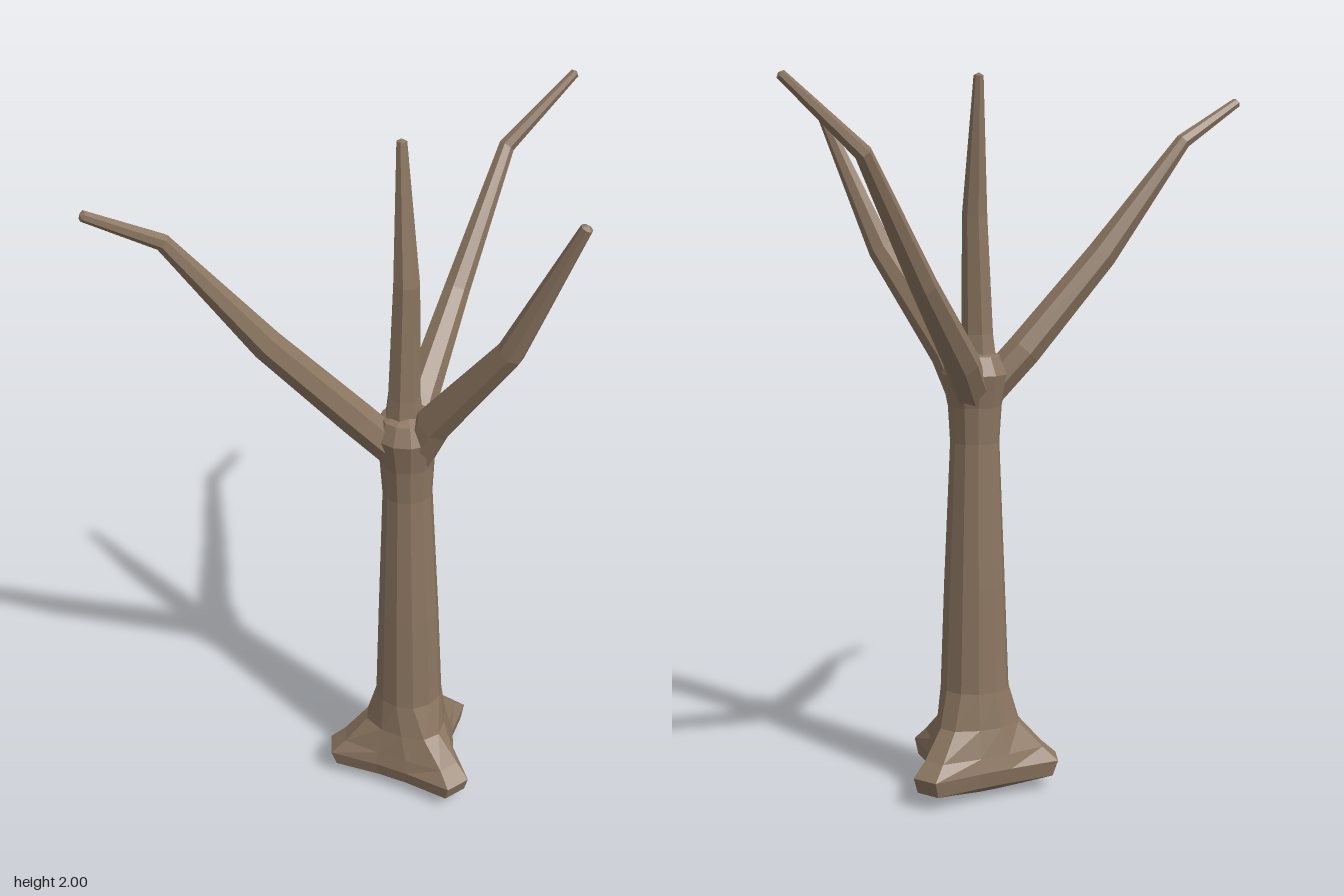
import * as THREE from 'three';

const V = (x, y, z) => new THREE.Vector3(x, y, z);

// Faceted skin through rings of points, closed by a fan at each end
function loft(rings, startTip, endTip) {
  const n = rings[0].length, pos = [];
  const tri = (a, b, c) => pos.push(...a.toArray(), ...b.toArray(), ...c.toArray());
  for (let i = 0; i < rings.length - 1; i++) {
    for (let j = 0; j < n; j++) {
      const k = (j + 1) % n;
      const a = rings[i][j], b = rings[i][k], c = rings[i + 1][j], d = rings[i + 1][k];
      tri(a, c, b);
      tri(b, c, d);
    }
  }
  const last = rings[rings.length - 1];
  for (let j = 0; j < n; j++) {
    const k = (j + 1) % n;
    tri(startTip, rings[0][j], rings[0][k]);
    tri(endTip, last[k], last[j]);
  }
  const g = new THREE.BufferGeometry();
  g.setAttribute('position', new THREE.Float32BufferAttribute(pos, 3));
  g.computeVertexNormals();
  return g;
}

// Tapered limb along [x, y, z, radius] points
function limb(points, sides = 7) {
  const c = points.map(p => V(p[0], p[1], p[2]));
  const n = c.length;
  const u = V(1, 0, 0);
  let t;
  const rings = points.map((p, i) => {
    t = V(0, 0, 0);
    if (i > 0) t.add(c[i].clone().sub(c[i - 1]).normalize());
    if (i < n - 1) t.add(c[i + 1].clone().sub(c[i]).normalize());
    t.normalize();
    u.addScaledVector(t, -u.dot(t)).normalize();
    const v = u.clone().cross(t);
    return Array.from({ length: sides }, (_, j) => {
      const a = (j / sides) * Math.PI * 2;
      return c[i].clone().addScaledVector(u, Math.cos(a) * p[3]).addScaledVector(v, Math.sin(a) * p[3]);
    });
  });
  return loft(rings, c[0], c[n - 1].clone().addScaledVector(t, points[n - 1][3] * 0.5));
}

// Trunk: round above, spreading into three root toes at the foot
function trunk() {
  const cx = -0.057, cz = -0.03;
  const toes = [-2, 105, 230, 358];
  const toeAngles = [];
  for (let s = 0; s < 3; s++) {
    const mid = (toes[s] + toes[s + 1]) / 2;
    toeAngles.push(toes[s] - 9, toes[s] + 9, mid - 20, mid + 20);
  }
  // [height, toe radius, radius between toes, how far the corners gather at the toes]
  const levels = [
    [0.015, 0.13, 0.09, 1], [0.04, 0.225, 0.13, 1], [0.085, 0.24, 0.14, 1],
    [0.125, 0.195, 0.13, 1], [0.2, 0.128, 0.11, 0.6], [0.3, 0.098, 0.096, 0],
    [0.6, 0.086, 0.086, 0], [1.0, 0.069, 0.069, 0], [1.1, 0.075, 0.075, 0],
    [1.19, 0.093, 0.093, 0], [1.24, 0.07, 0.07, 0],
  ];
  const rings = levels.map(([y, rToe, rGap, gather]) => toeAngles.map((deg, j) => {
    const a = THREE.MathUtils.degToRad(THREE.MathUtils.lerp(j * 30 - 15, deg, gather));
    const r = j % 4 < 2 ? rToe : rGap;
    return V(cx + Math.cos(a) * r, y, cz + Math.sin(a) * r);
  }));
  return loft(rings, V(cx - 0.03, 0, cz), V(cx, 1.27, cz));
}

export function createModel() {
  const bark = new THREE.MeshStandardMaterial({ color: 0x8c7661 });
  bark.name = 'bark';
  const tree = new THREE.Group();
  tree.name = 'bareTree';

  const branches = {
    leftBranch: [[-0.04, 1.12, -0.04, 0.05], [0.06, 1.23, -0.075, 0.05], [0.28, 1.45, -0.12, 0.037],
      [0.54, 1.78, -0.145, 0.023], [0.715, 1.96, -0.045, 0.013]],
    rightBackBranch: [[-0.07, 1.12, -0.04, 0.05], [-0.16, 1.25, -0.12, 0.05], [-0.35, 1.51, -0.25, 0.043],
      [-0.54, 1.82, -0.39, 0.022], [-0.715, 1.93, -0.46, 0.014]],
    frontBranch: [[-0.055, 1.1, -0.02, 0.055], [-0.05, 1.24, 0.055, 0.052], [-0.03, 1.52, 0.28, 0.037],
      [0.013, 1.89, 0.455, 0.016]],
    topBranch: [[-0.06, 1.18, -0.04, 0.06], [-0.06, 1.3, -0.038, 0.045], [-0.05, 1.62, -0.035, 0.036],
      [-0.025, 1.99, -0.065, 0.014]],
  };

  const add = (name, geometry) => {
    const mesh = new THREE.Mesh(geometry, bark);
    mesh.name = name;
    tree.add(mesh);
  };
  add('trunkAndRoots', trunk());
  for (const [name, path] of Object.entries(branches)) add(name, limb(path));
  return tree;
}
